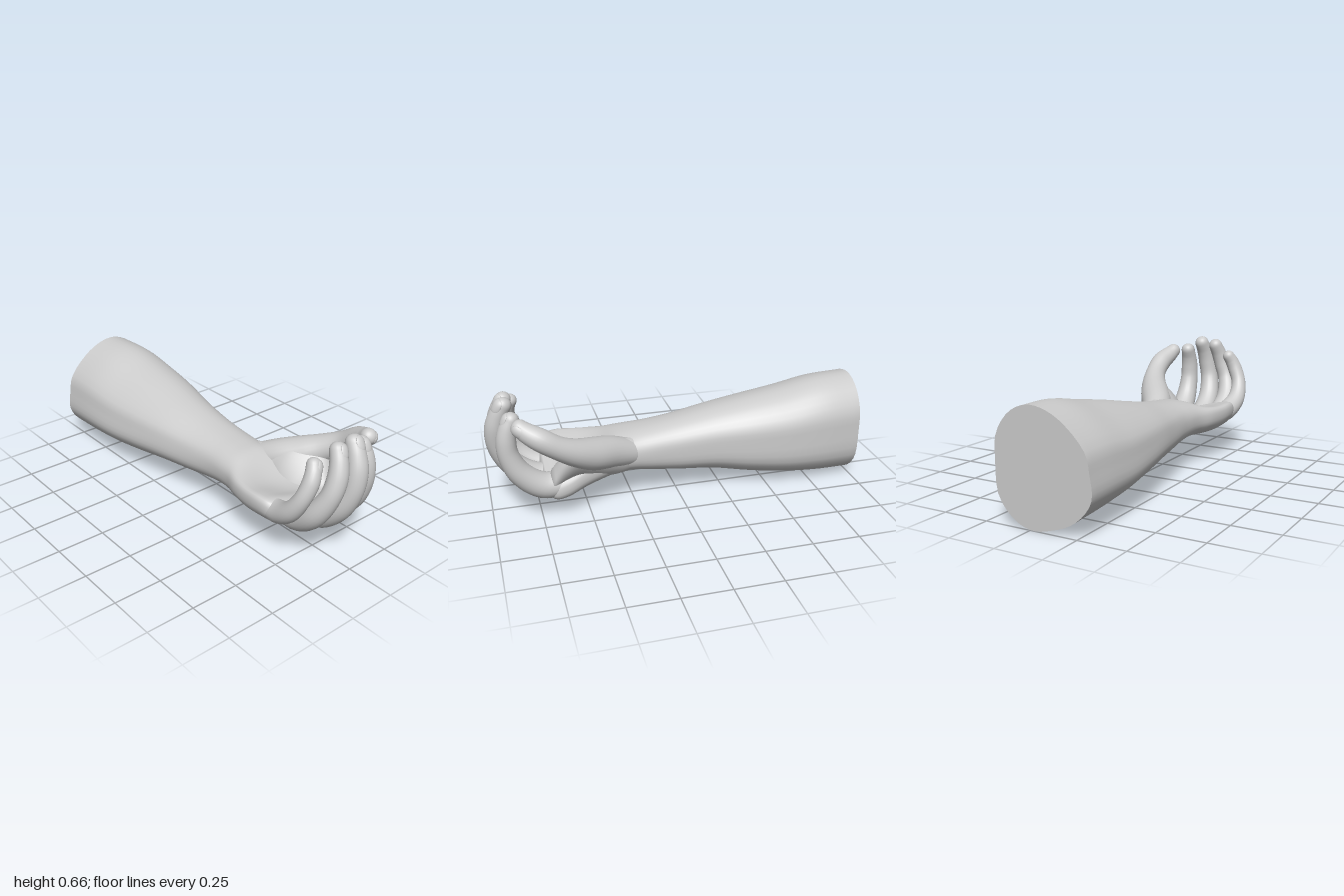
import * as THREE from 'three';

const skin = new THREE.MeshStandardMaterial({ color: 0xcccccc, roughness: 0.8 });
const flat = new THREE.MeshStandardMaterial({ color: 0xcccccc, roughness: 0.8, side: THREE.DoubleSide });
const V = (x, y, z) => new THREE.Vector3(x, y, z);

function addMesh(parent, name, geometry, material = skin) {
  const mesh = new THREE.Mesh(geometry, material);
  mesh.name = name;
  parent.add(mesh);
  return mesh;
}

// Skin over closed rings of points, with a closing point after the last ring
function loft(rings, endPoint) {
  const n = rings[0].length;
  const points = [...rings.flat(), endPoint];
  const index = [];
  for (let i = 0; i < rings.length; i++) {
    for (let j = 0; j < n; j++) {
      const a = i * n + j, b = i * n + (j + 1) % n;
      if (i === rings.length - 1) index.push(a, b, points.length - 1);
      else index.push(a, b, a + n, b, b + n, a + n);
    }
  }
  const geometry = new THREE.BufferGeometry().setFromPoints(points);
  geometry.setIndex(index);
  geometry.computeVertexNormals();
  return geometry;
}

// Smooth every lengthwise line through a few sections, giving many rings
function smoothRings(sections, steps) {
  const lines = sections[0].map((_, j) =>
    new THREE.CatmullRomCurve3(sections.map((ring) => ring[j])).getPoints(steps));
  return Array.from({ length: steps + 1 }, (_, i) => lines.map((line) => line[i]));
}

// Outline of the forearm at the elbow, scaled to -1..1
const elbowOutline = new THREE.CatmullRomCurve3([
  [0.95, 0.05], [0.92, 0.47], [0.65, 0.84], [0.27, 1], [-0.12, 0.95], [-0.5, 0.75],
  [-0.88, 0.37], [-0.96, 0.05], [-1, -0.3], [-0.88, -0.54], [-0.58, -0.79],
  [-0.2, -0.93], [0.2, -1], [0.57, -0.88], [0.9, -0.52],
].map(([x, y]) => V(x, y, 0)), true);

// Forearm, wrist and palm: z, left and right x, low and high y,
// share of the elbow outline, hollow of the palm, tilt across the palm
const armSections = [
  [-1.0, -0.33, 0.198, 0.0, 0.572, 1, 0, 0],
  [-0.8, -0.33, 0.217, 0.01, 0.563, 1, 0, 0],
  [-0.6, -0.32, 0.215, 0.03, 0.525, 1, 0, 0],
  [-0.4, -0.295, 0.19, 0.06, 0.49, 0.9, 0, 0],
  [-0.2, -0.262, 0.15, 0.095, 0.45, 0.7, 0, 0],
  [0.0, -0.222, 0.128, 0.115, 0.412, 0.5, 0, 0],
  [0.15, -0.2, 0.122, 0.137, 0.39, 0.2, 0, 0],
  [0.25, -0.2, 0.124, 0.152, 0.378, 0, 0, 0],
  [0.33, -0.21, 0.138, 0.155, 0.375, 0, 0.01, 0],
  [0.42, -0.238, 0.165, 0.145, 0.372, 0, 0.055, 0.04],
  [0.52, -0.255, 0.19, 0.13, 0.362, 0, 0.085, 0.1],
  [0.61, -0.26, 0.205, 0.116, 0.34, 0, 0.075, 0.2],
  [0.675, -0.25, 0.2, 0.115, 0.315, 0, 0.045, 0.24],
  [0.725, -0.215, 0.165, 0.145, 0.265, 0, 0.01, 0.24],
];

function armRing([z, x0, x1, y0, y1, elbow, hollow, tilt], sides) {
  const power = (v) => Math.sign(v) * Math.abs(v) ** 0.85;
  const ring = [];
  for (let j = 0; j < sides; j++) {
    const a = (j / sides) * Math.PI * 2;
    const p = V(power(Math.cos(a)), power(Math.sin(a)), 0)
      .lerp(elbowOutline.getPoint(j / sides), elbow);
    const dx = p.x * (x1 - x0) / 2;
    const dip = p.y > 0 ? hollow * (1 - p.x * p.x) * Math.min(1, p.y * 1.5) : 0;
    ring.push(V((x0 + x1) / 2 + dx, (y0 + y1) / 2 + p.y * (y1 - y0) / 2 - dip - tilt * dx, z));
  }
  return ring;
}

function addArm(parent) {
  const rings = smoothRings(armSections.map((s) => armRing(s, 48)), 65);
  addMesh(parent, 'forearmAndPalm', loft(rings, V(-0.02, 0.2, 0.74)));
  const outline = new THREE.Shape(rings[0].map((p) => new THREE.Vector2(p.x, p.y)));
  addMesh(parent, 'elbowCut', new THREE.ShapeGeometry(outline), flat).position.z = -1;
}

// Ball of the thumb: z, centre x and y, half width, half height, lean outwards
const thumbBallSections = [
  [0.2, 0.045, 0.265, 0.05, 0.08, 0],
  [0.32, 0.075, 0.272, 0.074, 0.103, 0.1],
  [0.4, 0.105, 0.288, 0.09, 0.122, 0.3],
  [0.48, 0.118, 0.295, 0.1, 0.138, 0.52],
  [0.56, 0.132, 0.288, 0.09, 0.132, 0.68],
  [0.63, 0.145, 0.262, 0.07, 0.1, 0.5],
  [0.69, 0.152, 0.215, 0.048, 0.06, 0],
];

function addThumbBall(parent) {
  const sections = thumbBallSections.map(([z, x, y, w, h, lean]) =>
    Array.from({ length: 32 }, (_, j) => {
      const a = (j / 32) * Math.PI * 2, dy = Math.sin(a) * h;
      return V(x + Math.cos(a) * w + lean * dy, y + dy, z);
    }));
  addMesh(parent, 'thumbBall', loft(smoothRings(sections, 30), V(0.15, 0.21, 0.71)));
}

// Round limb along points [x, y, z, radius], ending in a blunt dome; returns its end frame
function addDigit(parent, name, data, back) {
  const path = new THREE.CatmullRomCurve3(data.map((p) => V(p[0], p[1], p[2])));
  const radii = new THREE.CatmullRomCurve3(data.map((p, i) => V(p[3], i * 0.1, 0)));
  const steps = 36, sides = 24, rings = [];
  const frame = (t) => {
    const along = path.getTangent(t);
    const out = back.clone().addScaledVector(along, -back.dot(along)).normalize();
    return { along, out, side: along.clone().cross(out), p: path.getPoint(t), r: radii.getPoint(t).x };
  };
  const addRing = (f, r, shift) => rings.push(Array.from({ length: sides }, (_, j) => {
    const a = (j / sides) * Math.PI * 2;
    return f.p.clone().addScaledVector(f.out, Math.cos(a) * r)
      .addScaledVector(f.side, Math.sin(a) * r).addScaledVector(f.along, shift);
  }));
  for (let i = 0; i <= steps; i++) {
    const f = frame(i / steps);
    addRing(f, f.r, 0);
  }
  const end = frame(1);
  for (let k = 1; k < 8; k++) {
    const a = (k / 8) * Math.PI / 2;
    addRing(end, end.r * Math.cos(a) ** 0.85, end.r * Math.sin(a));
  }
  addMesh(parent, name, loft(rings, end.p.clone().addScaledVector(end.along, end.r)));
  return end;
}

// Curved nail plate with rounded corners, set on the back of a fingertip
function addNail(parent, name, { p, r, along, out, side }) {
  const geometry = new THREE.SphereGeometry(1, 28, 18);
  const pos = geometry.attributes.position;
  const square = (v) => Math.sign(v) * Math.abs(v) ** 0.75;
  for (let i = 0; i < pos.count; i++) {
    const x = square(pos.getX(i)) * r * 0.8, y = square(pos.getY(i)) * r * 0.9;
    pos.setXYZ(i, x, y, pos.getZ(i) * 0.008 - (x * x) / (2 * r) - (y > 0 ? y * y * 7 : 0));
  }
  geometry.computeVertexNormals();
  const nail = addMesh(parent, name, geometry);
  nail.quaternion.setFromRotationMatrix(new THREE.Matrix4().makeBasis(side, along, out));
  nail.position.copy(p).addScaledVector(out, r * 0.99).addScaledVector(along, -0.008);
}

const digits = {
  littleFinger: [
    [-0.18, 0.245, 0.6, 0.058], [-0.198, 0.26, 0.71, 0.057], [-0.213, 0.315, 0.798, 0.05],
    [-0.202, 0.4, 0.855, 0.042], [-0.17, 0.48, 0.872, 0.042], [-0.15, 0.525, 0.866, 0.039],
    [-0.135, 0.557, 0.852, 0.035]],
  ringFinger: [
    [-0.09, 0.19, 0.62, 0.063], [-0.105, 0.207, 0.75, 0.064], [-0.117, 0.292, 0.863, 0.06],
    [-0.09, 0.405, 0.925, 0.051], [-0.06, 0.49, 0.932, 0.05], [-0.04, 0.56, 0.917, 0.045],
    [-0.027, 0.612, 0.893, 0.04]],
  middleFinger: [
    [0.005, 0.175, 0.62, 0.066], [0.01, 0.188, 0.765, 0.067], [0.016, 0.282, 0.888, 0.061],
    [0.036, 0.4, 0.945, 0.054], [0.053, 0.5, 0.947, 0.053], [0.063, 0.57, 0.927, 0.047],
    [0.07, 0.62, 0.9, 0.042]],
  indexFinger: [
    [0.125, 0.185, 0.6, 0.066], [0.14, 0.19, 0.74, 0.069], [0.153, 0.281, 0.851, 0.061],
    [0.157, 0.39, 0.9, 0.053], [0.158, 0.47, 0.905, 0.05], [0.157, 0.53, 0.893, 0.045],
    [0.155, 0.574, 0.873, 0.04]],
  thumb: [
    [0.05, 0.27, 0.25, 0.07], [0.11, 0.315, 0.38, 0.085], [0.178, 0.352, 0.485, 0.085],
    [0.238, 0.4, 0.58, 0.071], [0.273, 0.453, 0.667, 0.059], [0.277, 0.509, 0.75, 0.058],
    [0.257, 0.545, 0.81, 0.05], [0.242, 0.567, 0.838, 0.042]],
};

export function createModel() {
  const model = new THREE.Group();
  model.name = 'forearmWithCuppedHand';
  addArm(model);
  addThumbBall(model);
  for (const [name, data] of Object.entries(digits)) {
    const group = new THREE.Group();
    group.name = name;
    const back = name === 'thumb' ? V(1, -0.4, 0.6) : V(0, -1, 1);
    const end = addDigit(group, name + 'Flesh', data, back);
    addNail(group, name + 'Nail', end);
    model.add(group);
  }
  return model;
}
